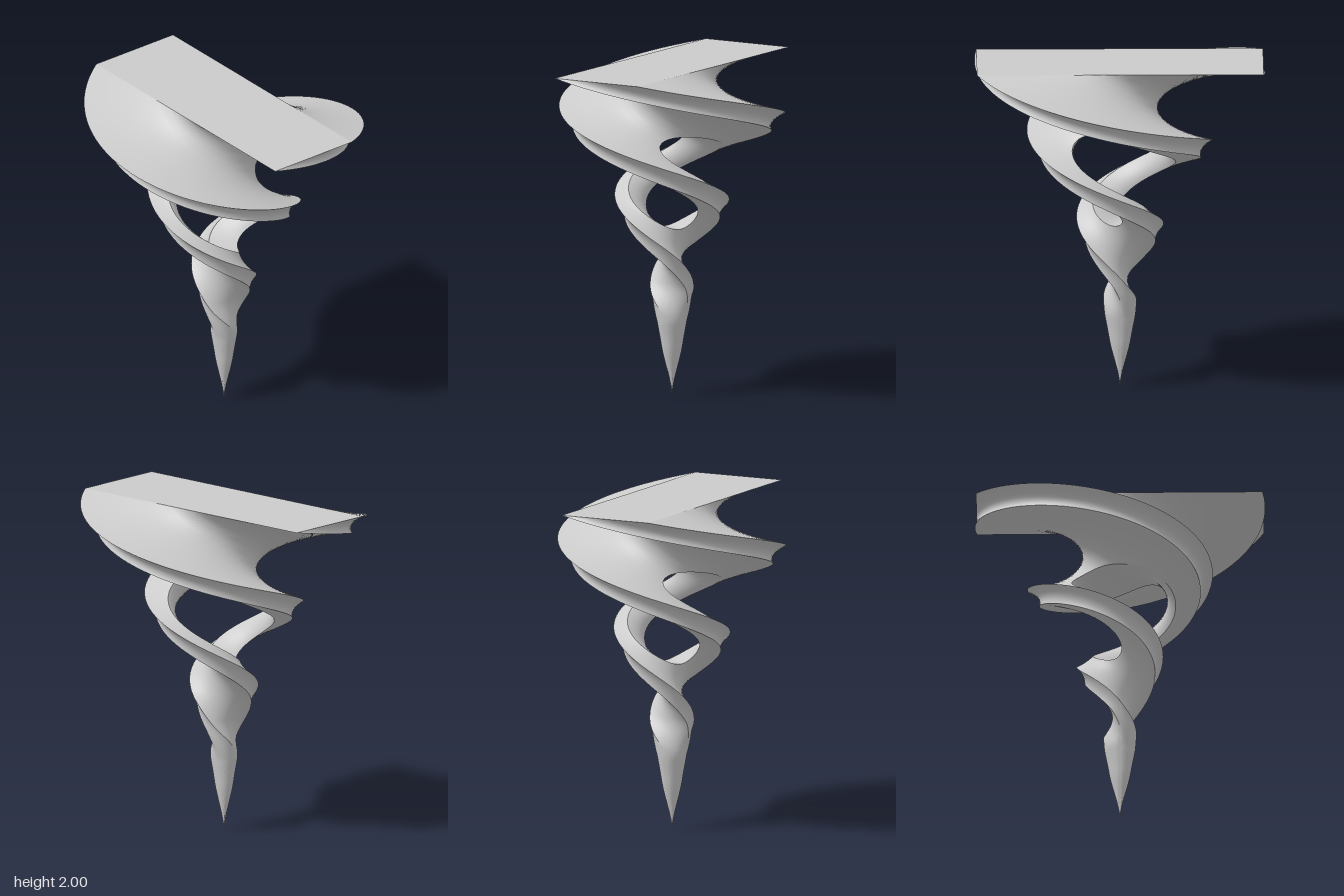
import * as THREE from 'three';
import { mergeGeometries, toCreasedNormals } from 'three/addons/utils/BufferGeometryUtils.js';

const H = 2;
const HOLE = { y: 1.295, half: 0.285, width: 0.72 };
const { smoothstep, lerp } = THREE.MathUtils;

// Half length of the bar section: flares towards the top, slight bulb near the tip
const halfLength = (y) => 0.059 * y + 0.183 * y * y
  + 0.032 * smoothstep(y, 0, 0.3) * (1 - smoothstep(y, 0.4, 0.8));

// Slot half width, as a fraction of the half length
const slot = (y) => {
  const t = (y - HOLE.y) / HOLE.half;
  return HOLE.width * Math.sqrt(Math.max(0, 1 - t * t));
};

// Section point (u, v in -1..1) at height y: tapered, rounded near the tip, twisted
function place(u, v, y) {
  const round = 1 - smoothstep(y, 0.45, 0.68);
  const L = halfLength(y);
  const T = L * lerp(0.342, 0.82, round);
  const a = L * u * lerp(1, Math.sqrt(1 - v * v / 2), round);
  const b = T * v * lerp(1, Math.sqrt(1 - u * u / 2), round);
  const angle = 5.83 * (H - Math.max(y, 0.45));
  const c = Math.cos(angle), s = Math.sin(angle);
  return [a * c + b * s, y, -a * s + b * c];
}

// Surface swept up the rows between two section points given per height
function strip(rows, from, to, cols) {
  const pos = [], index = [];
  rows.forEach((y, i) => {
    const [u0, v0] = from(y), [u1, v1] = to(y);
    for (let j = 0; j <= cols; j++) {
      pos.push(...place(lerp(u0, u1, j / cols), lerp(v0, v1, j / cols), y));
      if (i && j) {
        const d = i * (cols + 1) + j, c = d - 1, b = d - cols - 1, a = b - 1;
        index.push(a, b, d, a, d, c);
      }
    }
  });
  const g = new THREE.BufferGeometry();
  g.setAttribute('position', new THREE.Float32BufferAttribute(pos, 3));
  g.setIndex(index);
  return g;
}

const range = (n, f) => Array.from({ length: n + 1 }, (_, i) => f(i / n));

export function createModel() {
  const lo = HOLE.y - HOLE.half, hi = HOLE.y + HOLE.half;
  // Rows crowd together at the rounded ends of the slot
  const holeRows = range(64, (t) => HOLE.y - HOLE.half * Math.cos(Math.PI * t));
  const rows = [
    ...range(70, (t) => lo * t).slice(0, -1),
    ...holeRows,
    ...range(36, (t) => lerp(hi, H, t)).slice(1),
  ];

  // One half of the bar: broad face on both sides of the slot, narrow edge, slot wall
  const half = [
    strip(rows, (y) => [-1, 1], (y) => [-slot(y), 1], 10),
    strip(rows, (y) => [slot(y), 1], (y) => [1, 1], 10),
    strip(rows, (y) => [1, 1], (y) => [1, -1], 8),
    strip(holeRows, (y) => [slot(y), -1], (y) => [slot(y), 1], 8),
  ];
  // The other half is the same, turned half way round
  const parts = [...half, ...half.map((g) => g.clone().rotateY(Math.PI))];

  const material = new THREE.MeshStandardMaterial({ color: 0xcccccc });
  const group = new THREE.Group();
  const body = new THREE.Mesh(toCreasedNormals(mergeGeometries(parts), 0.7), material);
  body.name = 'twistedBar';
  group.add(body);

  // Flat top
  const L = halfLength(H);
  const top = new THREE.Mesh(new THREE.PlaneGeometry(2 * L, 2 * L * 0.342), material);
  top.rotation.x = -Math.PI / 2;
  top.position.y = H;
  top.name = 'flatTop';
  group.add(top);
  return group;
}
